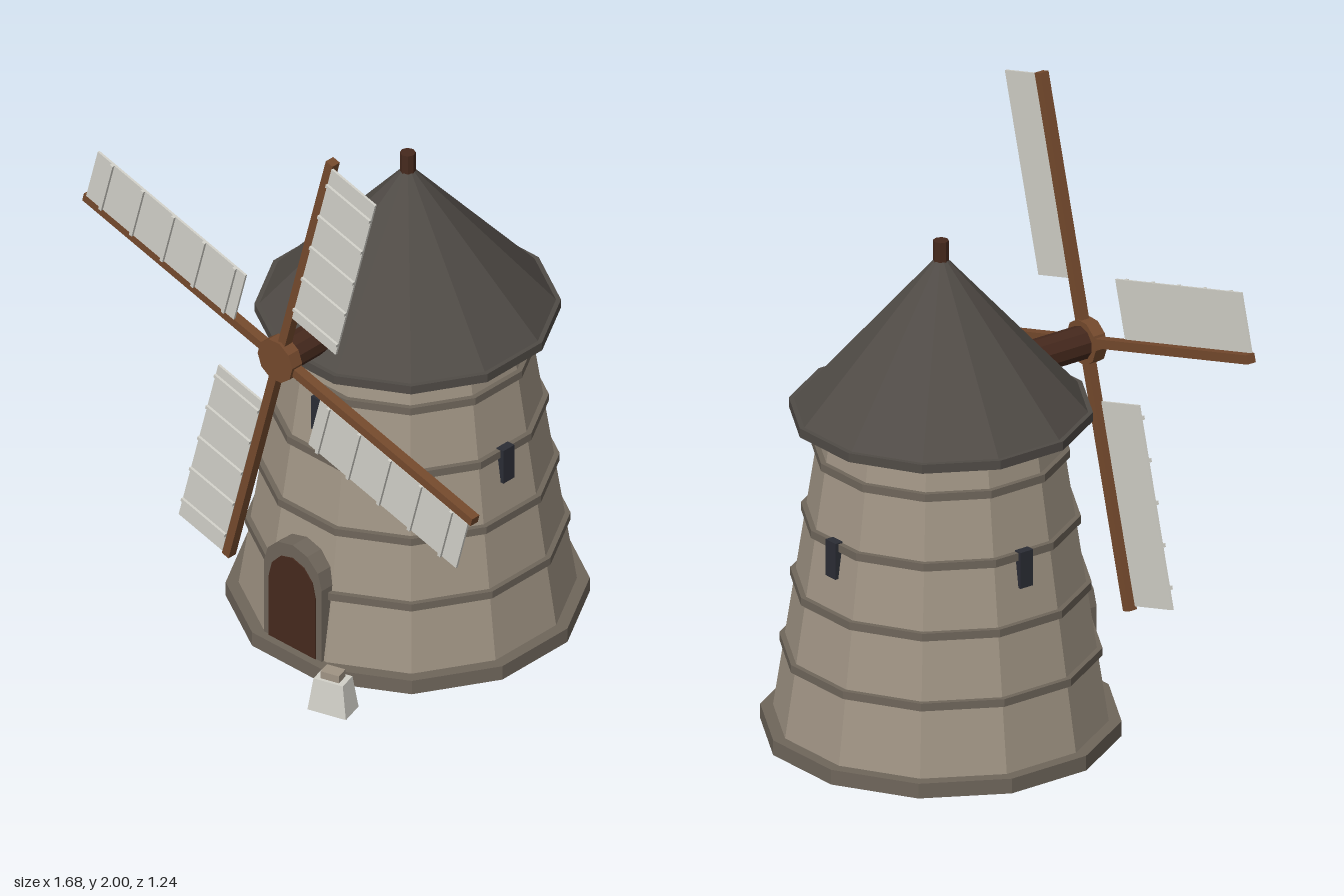
import * as THREE from 'three';

const material = (name, color) => {
  const m = new THREE.MeshStandardMaterial({ color, flatShading: true });
  m.name = name;
  return m;
};

export function createModel() {
  const wall = material('stone wall', 0xa09484);
  const trim = material('stone trim', 0x6f665b);
  const roofing = material('roof', 0x504b46);
  const wood = material('wood', 0x754a2d);
  const darkWood = material('dark wood', 0x46291d);
  const glass = material('window', 0x2b2d35);
  const cloth = material('sailcloth', 0xd2d1c9);

  const model = new THREE.Group();
  const add = (parent, name, geometry, mat, x = 0, y = 0, z = 0) => {
    const mesh = new THREE.Mesh(geometry, mat);
    mesh.name = name;
    mesh.position.set(x, y, z);
    parent.add(mesh);
    return mesh;
  };
  const box = (w, h, d) => new THREE.BoxGeometry(w, h, d);

  // Twelve-sided drum sized by the distance to its flats, flats facing the axes
  const SIDES = 12;
  const drum = (top, bottom, y0, y1) => {
    const k = 1 / Math.cos(Math.PI / SIDES);
    return new THREE.CylinderGeometry(top * k, bottom * k, y1 - y0, SIDES, 1, false, Math.PI / SIDES)
      .translate(0, (y0 + y1) / 2, 0);
  };
  const wallAt = (y) => 0.51 - 0.147 * (y - 0.05);

  // Tower
  const tower = new THREE.Group();
  tower.name = 'tower';
  tower.position.z = -0.07;
  model.add(tower);
  add(tower, 'base', drum(0.549, 0.549, 0, 0.05), trim);
  add(tower, 'wall', drum(wallAt(1.08), wallAt(0.04), 0.04, 1.08), wall);
  for (const y of [0.283, 0.506, 0.729, 0.951]) {
    const r = wallAt(y) + 0.015;
    add(tower, 'band', drum(r, r, y - 0.013, y + 0.013), trim);
  }

  // Roof
  add(tower, 'eave', drum(0.462, 0.462, 1.065, 1.095), roofing);
  add(tower, 'roof', drum(0.004, 0.447, 1.095, 1.61), roofing);
  add(tower, 'finial', new THREE.CylinderGeometry(0.025, 0.025, 0.085, 8), darkWood, 0, 1.612, 0);

  // Windows: the front one sits higher
  for (let i = 0; i < 4; i++) {
    const y = i === 0 ? 0.865 : 0.685;
    const side = new THREE.Group();
    side.name = 'windowSide';
    side.rotation.y = i * Math.PI / 2;
    tower.add(side);
    add(side, 'window', box(0.05, 0.122, 0.04), glass, 0, y, wallAt(y));
  }

  // Arched door and surround
  const arch = (half, spring, top, depth) => {
    const s = new THREE.Shape();
    s.moveTo(-half, 0.045);
    s.lineTo(half, 0.045);
    for (let i = 0; i <= 6; i++) {
      const a = i / 6 * Math.PI;
      s.lineTo(half * Math.cos(a), spring + (top - spring) * Math.sin(a));
    }
    return new THREE.ExtrudeGeometry(s, { depth, bevelEnabled: false });
  };
  add(model, 'doorSurround', arch(0.125, 0.315, 0.43, 0.09), trim, 0, 0, 0.359);
  add(model, 'door', arch(0.1, 0.275, 0.383, 0.008), darkWood, 0, 0, 0.445);

  // Axle and hub
  const HUB_Y = 1.16;
  add(model, 'axle', new THREE.CylinderGeometry(0.055, 0.055, 0.4, 10).rotateX(Math.PI / 2), darkWood, 0, HUB_Y, 0.29);

  const sails = new THREE.Group();
  sails.name = 'sails';
  sails.position.set(0, HUB_Y, 0.503);
  sails.rotation.z = -Math.PI / 12;
  model.add(sails);
  add(sails, 'hub', new THREE.CylinderGeometry(0.075, 0.075, 0.045, 10).rotateX(Math.PI / 2), wood, 0, 0, 0.004);

  // Four arms, each with a cloth panel and cross slats
  for (let i = 0; i < 4; i++) {
    const arm = new THREE.Group();
    arm.name = 'sail';
    arm.rotation.z = i * Math.PI / 2;
    sails.add(arm);
    add(arm, 'spar', box(0.03, 0.868, 0.033), wood, 0, 0.434, 0);
    add(arm, 'panel', box(0.195, 0.66, 0.008), cloth, 0.112, 0.527, 0.014);
    for (let j = 0; j < 5; j++) {
      add(arm, 'slat', box(0.195, 0.012, 0.01), cloth, 0.112, 0.24 + j * 0.137, 0.022);
    }
  }

  // Small tapered block by the door
  const block = new THREE.Group();
  block.name = 'block';
  block.position.set(0.277, 0, 0.557);
  block.rotation.y = 0.29;
  model.add(block);
  const frustum = new THREE.CylinderGeometry(0.76 * Math.SQRT1_2, Math.SQRT1_2, 0.115, 4, 1, false, Math.PI / 4);
  add(block, 'blockBody', frustum.scale(0.135, 1, 0.087), cloth, 0, 0.0575, 0);
  add(block, 'blockTop', box(0.065, 0.03, 0.045), wall, 0, 0.126, 0);

  return model;
}
